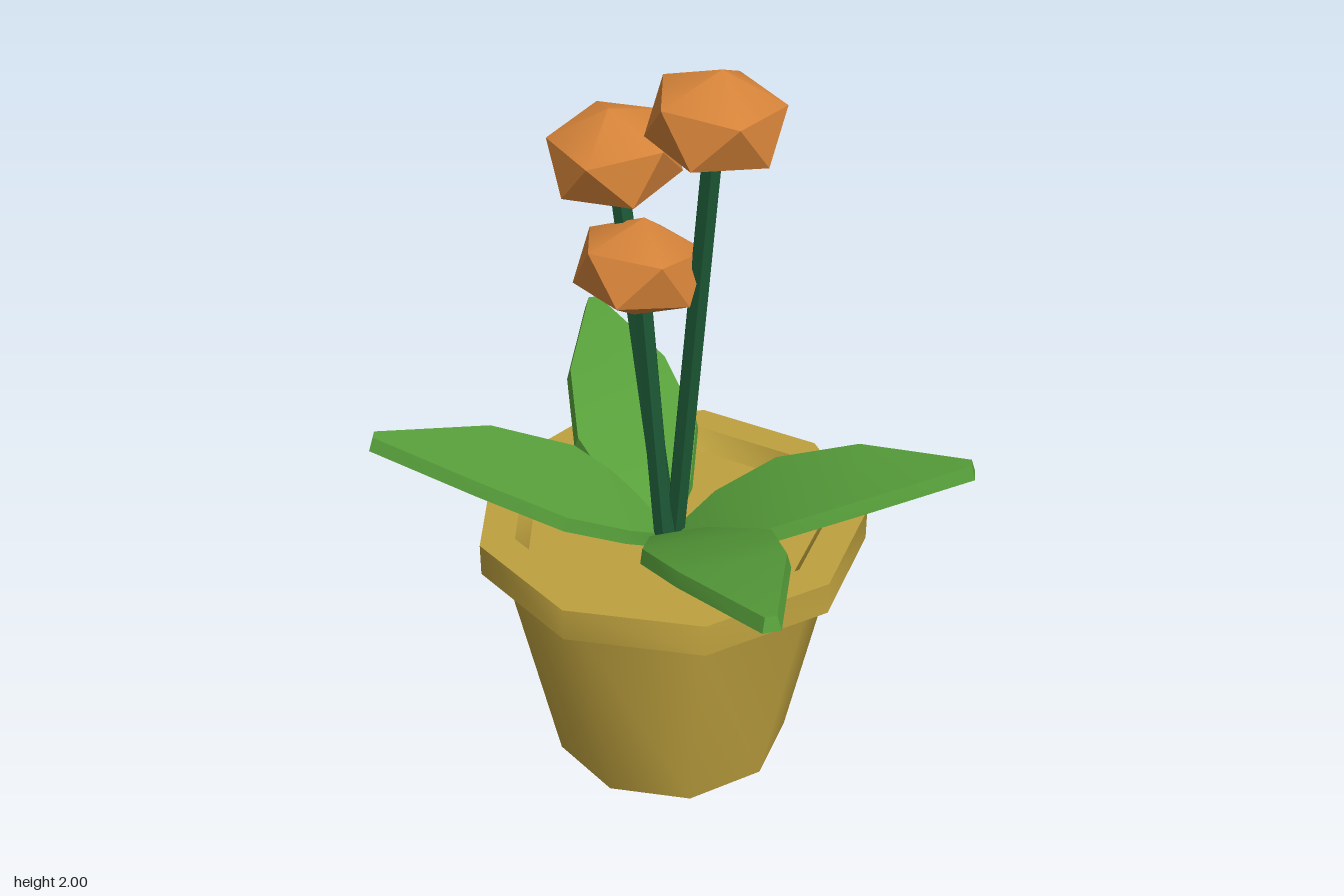
import * as THREE from 'three';
import { toCreasedNormals } from 'three/addons/utils/BufferGeometryUtils.js';

const material = (name, color, extra = {}) => {
  const m = new THREE.MeshStandardMaterial({ color, ...extra });
  m.name = name;
  return m;
};

// Leaf slab along +x: rectangular cross-sections [distance, half width, top height]
function leafGeometry() {
  const sections = [[0.02, 0.04, 0.67], [0.1, 0.11, 0.73], [0.25, 0.168, 0.81], [0.46, 0.138, 0.89], [0.735, 0.022, 0.945]];
  const thickness = 0.035, inset = 0.008;
  const rings = sections.map(([u, w, y]) => [
    [u, y, -w + inset], [u, y, w - inset], [u + 0.01, y - thickness, w], [u + 0.01, y - thickness, -w],
  ]);
  const pos = [];
  const quad = (a, b, c, d) => pos.push(...a, ...b, ...c, ...a, ...c, ...d);
  for (let i = 0; i < rings.length - 1; i++) {
    for (let k = 0; k < 4; k++) {
      const n = (k + 1) % 4;
      quad(rings[i][k], rings[i][n], rings[i + 1][n], rings[i + 1][k]);
    }
  }
  const [first, last] = [rings[0], rings[rings.length - 1]];
  quad(first[3], first[2], first[1], first[0]);
  quad(last[0], last[1], last[2], last[3]);
  const g = new THREE.BufferGeometry();
  g.setAttribute('position', new THREE.Float32BufferAttribute(pos, 3));
  g.computeVertexNormals();
  return toCreasedNormals(g, 0.4);
}

// Squashed icosahedron standing on a corner
function blossomGeometry() {
  const g = new THREE.IcosahedronGeometry(1, 0);
  g.rotateX(-Math.atan((1 + Math.sqrt(5)) / 2));
  g.scale(0.164, 0.118, 0.164);
  return toCreasedNormals(g, 0.75);
}

export function createModel() {
  const model = new THREE.Group();
  model.name = 'pottedPlant';
  const clay = material('ochre clay', 0xbfa23f);
  const leafGreen = material('leaf green', 0x58a03b);
  const stemGreen = material('dark stem green', 0x1f5c38, { flatShading: true });
  const orange = material('orange petals', 0xd58339);

  const add = (name, geometry, mat) => {
    const mesh = new THREE.Mesh(geometry, mat);
    mesh.name = name;
    model.add(mesh);
    return mesh;
  };

  // Nine-sided pot with a rim, leaning slightly backwards
  const profile = [[0, 0], [0.31, 0], [0.438, 0.597], [0.5, 0.615], [0.5, 0.7], [0.41, 0.7], [0.378, 0.645], [0, 0.645]]
    .map(([r, y]) => new THREE.Vector2(r, y));
  const pot = add('pot', toCreasedNormals(new THREE.LatheGeometry(profile, 9, Math.PI / 2), 0.75), clay);
  pot.position.y = 0.011;
  pot.rotation.x = -0.03;

  // Four leaves: heading around y, start position
  const leaf = leafGeometry();
  [[-0.13, 0, 0.015], [-1.29, 0.02, 0], [-3.14, 0, 0], [1.85, -0.02, 0]].forEach(([yaw, x, z], i) => {
    const mesh = add(`leaf${i + 1}`, leaf, leafGreen);
    mesh.rotation.y = yaw;
    mesh.position.set(x, 0, z);
  });

  // Three stems, each carrying a blossom
  const blossom = blossomGeometry();
  const up = new THREE.Vector3(0, 1, 0);
  const flowers = [
    { base: [0.01, 0.64, 0.0], head: [0.097, 1.882, 0.222], turn: 0.3, tilt: [0.06, -0.1] },
    { base: [-0.005, 0.64, 0.015], head: [-0.123, 1.735, 0.07], turn: 0.9, tilt: [0.15, 0.1] },
    { base: [-0.015, 0.64, 0.03], head: [-0.07, 1.48, 0.118], turn: 1.6, tilt: [-0.12, -0.1] },
  ];
  flowers.forEach(({ base, head, turn, tilt }, i) => {
    const a = new THREE.Vector3(...base), b = new THREE.Vector3(...head);
    const dir = b.clone().sub(a);
    const stem = add(`stem${i + 1}`, new THREE.CylinderGeometry(0.024, 0.027, dir.length(), 6), stemGreen);
    stem.position.copy(a).add(b).multiplyScalar(0.5);
    stem.quaternion.setFromUnitVectors(up, dir.normalize());
    const flower = add(`blossom${i + 1}`, blossom, orange);
    flower.position.copy(b);
    flower.rotation.set(tilt[0], turn, tilt[1], 'XZY');
  });
  return model;
}
